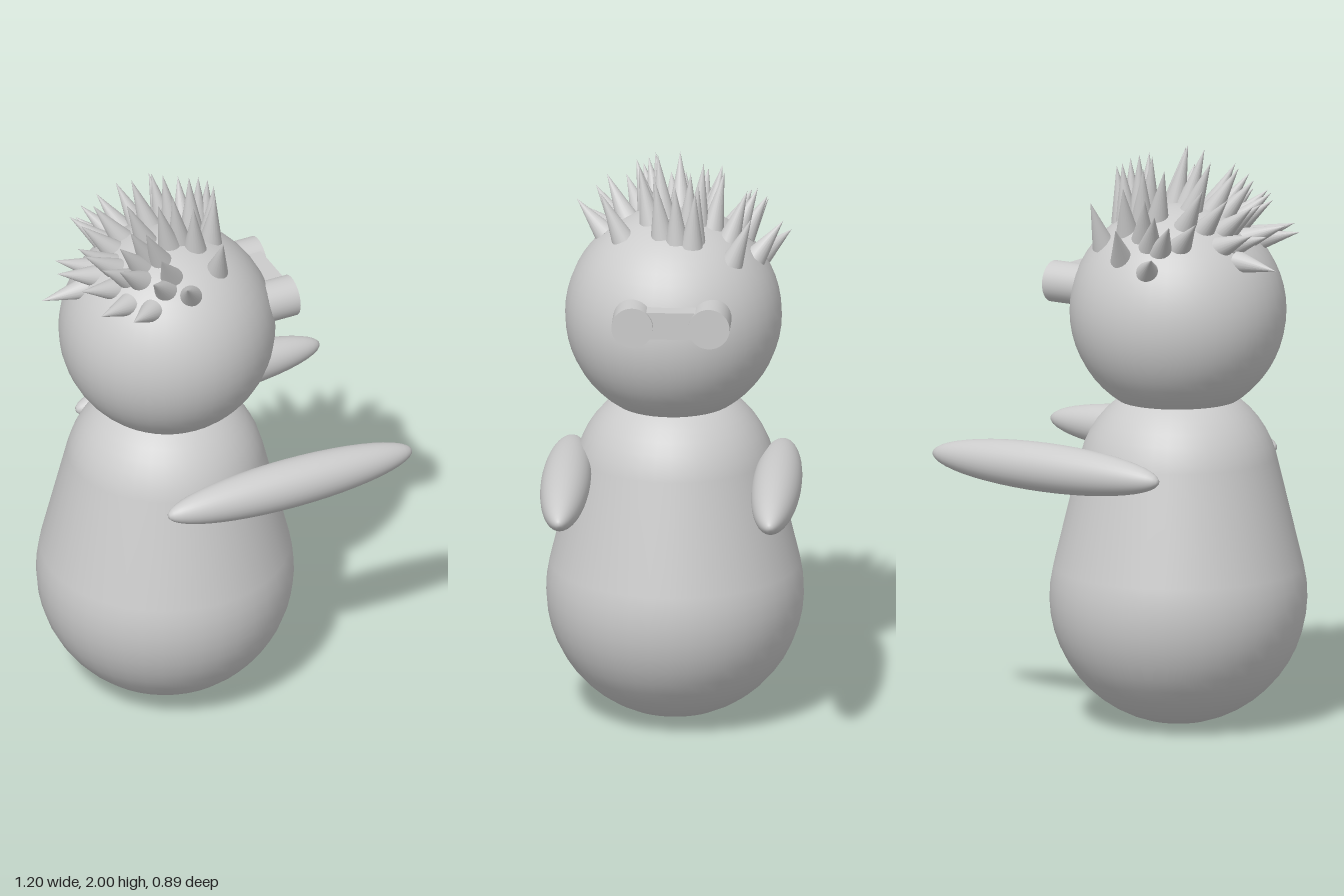
import * as THREE from 'three';

const material = new THREE.MeshStandardMaterial({ color: 0xcccccc });
const HEAD = new THREE.Vector3(-0.155, 1.43, 0.005);
const HEAD_R = 0.37;

function add(parent, name, geometry, x = 0, y = 0, z = 0) {
  const mesh = new THREE.Mesh(geometry, material);
  mesh.name = name;
  mesh.position.set(x, y, z);
  parent.add(mesh);
  return mesh;
}

// Pear-shaped profile: two circles joined by their common tangent
function bodyProfile() {
  const lowY = 0.445, lowR = 0.44, highY = 0.85, highR = 0.345;
  const tangent = Math.asin((lowR - highR) / (highY - lowY));
  const points = [];
  const arc = (cy, r, from, to, n) => {
    for (let i = 0; i <= n; i++) {
      const a = from + (to - from) * i / n;
      points.push(new THREE.Vector2(Math.max(0, r * Math.cos(a)), cy + r * Math.sin(a)));
    }
  };
  arc(lowY, lowR, -Math.PI / 2, tangent, 14);
  arc(highY, highR, tangent, Math.PI / 2, 10);
  return points;
}

// Tips of the hair spikes seen from above, as [x, z]
const spikeTips = [
  [-0.31, -0.39], [-0.33, -0.31], [-0.40, -0.25], [-0.27, -0.31], [-0.21, -0.28],
  [-0.15, -0.37], [-0.10, -0.25], [0.02, -0.27], [-0.13, -0.17], [-0.21, -0.16],
  [-0.36, -0.15], [0.01, -0.09], [0.04, -0.08], [-0.04, -0.06], [-0.12, -0.10],
  [0.03, -0.01], [0.00, 0.06], [-0.11, 0.12], [-0.16, 0.06], [-0.06, 0.25],
  [-0.24, 0.34], [-0.34, 0.28], [-0.43, 0.31], [-0.30, 0.14], [-0.22, 0.07],
  [-0.30, -0.01], [-0.60, -0.06], [-0.55, -0.04], [-0.48, -0.02], [-0.53, 0.11],
  [-0.48, 0.03], [-0.46, 0.13], [-0.51, 0.22], [-0.42, 0.18], [-0.34, 0.10],
  [-0.43, -0.10], [-0.29, 0.24], [-0.39, 0.12], [-0.53, -0.10],
];

function addSpike(parent, [tipX, tipZ]) {
  // Tip height follows a dome over the head; the root lies on the skull
  const dx = tipX - HEAD.x, dz = tipZ - HEAD.z;
  const d = Math.hypot(dx, dz);
  const dome = 0.58 - 0.2 * d;
  const tip = new THREE.Vector3(tipX, HEAD.y + Math.sqrt(dome * dome - d * d), tipZ);
  const rx = dx * 0.75 + 0.04, rz = dz * 0.75 - 0.01;
  const root = new THREE.Vector3(rx, Math.sqrt(HEAD_R ** 2 - rx * rx - rz * rz), rz)
    .multiplyScalar(0.96).add(HEAD);
  const axis = tip.clone().sub(root);
  const length = axis.length();
  const geometry = new THREE.ConeGeometry(0.04, length, 20);
  geometry.translate(0, length / 2, 0);
  const spike = add(parent, 'hairSpike', geometry, root.x, root.y, root.z);
  spike.quaternion.setFromUnitVectors(new THREE.Vector3(0, 1, 0), axis.normalize());
}

export function createModel() {
  const model = new THREE.Group();
  model.name = 'spikyHairedFigure';

  add(model, 'body', new THREE.LatheGeometry(bodyProfile(), 40), -0.16, -0.005, 0);
  add(model, 'head', new THREE.SphereGeometry(HEAD_R, 40, 28), HEAD.x, HEAD.y, HEAD.z);

  // Arms and goggle eyepieces on both sides, reaching toward +x
  for (const side of [-1, 1]) {
    const arm = add(model, side > 0 ? 'nearArm' : 'farArm',
      new THREE.SphereGeometry(1, 32, 24).rotateZ(Math.PI / 2), 0.14, 0.91, side * 0.36 - 0.003);
    arm.scale.set(0.462, 0.084, 0.084);
    const eye = new THREE.CylinderGeometry(0.071, 0.071, 0.14, 32).rotateZ(Math.PI / 2);
    add(model, 'eyepiece', eye, 0.19, 1.508, side * 0.131 - 0.007);
  }
  add(model, 'eyepieceBridge', new THREE.BoxGeometry(0.07, 0.095, 0.2), 0.213, 1.513, -0.007);

  // Hair
  const hair = new THREE.Group();
  hair.name = 'hair';
  spikeTips.forEach((tip) => addSpike(hair, tip));
  model.add(hair);

  return model;
}
